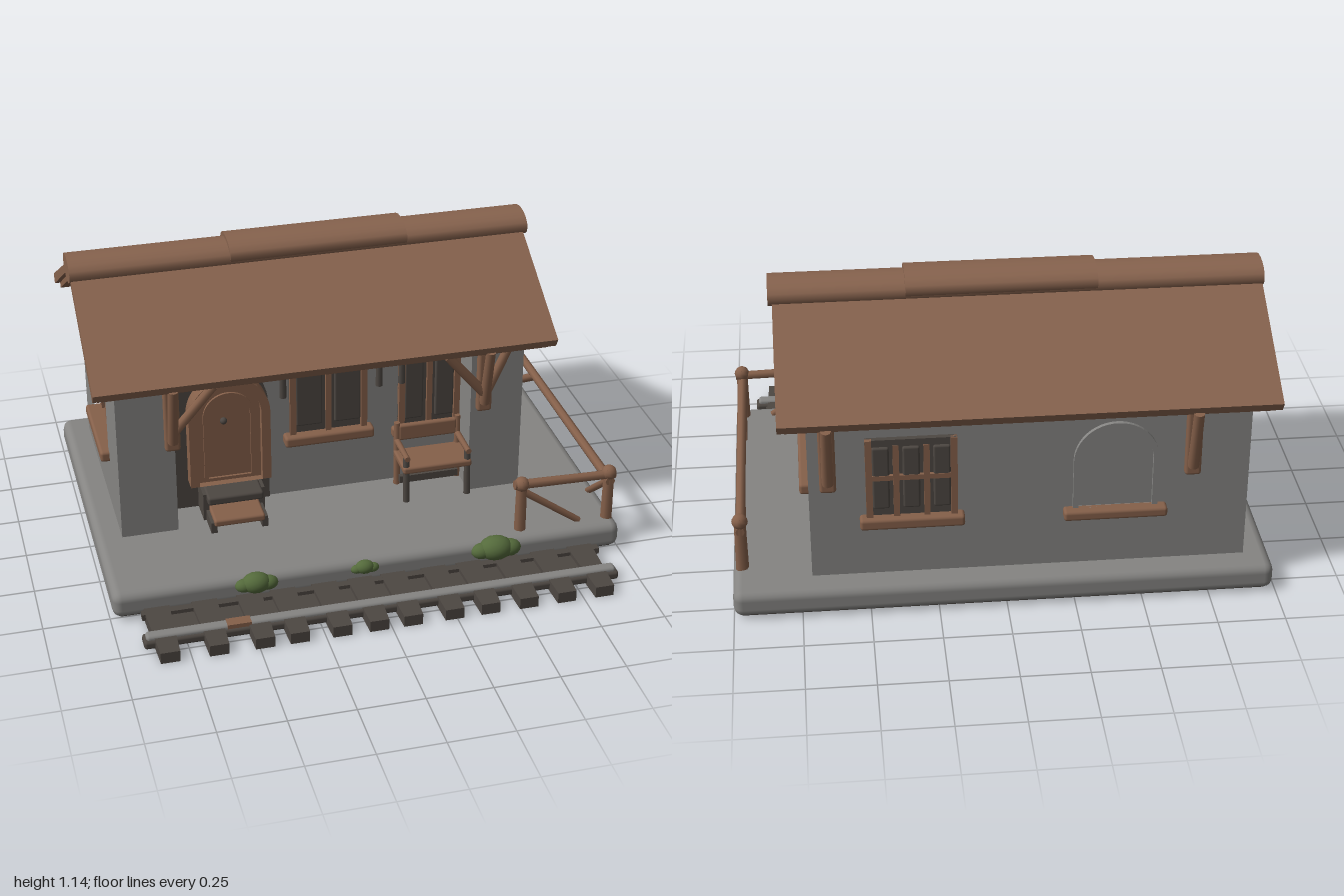
import * as THREE from 'three';
import { RoundedBoxGeometry } from 'three/addons/geometries/RoundedBoxGeometry.js';

const mat = (name, color) => {
  const m = new THREE.MeshStandardMaterial({ color });
  m.name = name;
  return m;
};

export function createModel() {
  const stone = mat('grey stone', 0x858482);
  const roofWood = mat('roof wood', 0x87634e);
  const wood = mat('brown wood', 0x85604a);
  const dark = mat('dark wood', 0x4d4742);
  const under = mat('underside', 0x35302b);
  const leaf = mat('leaf green', 0x556b3c);
  const root = new THREE.Group();

  const add = (name, geo, m, parent = root, pos = [0, 0, 0]) => {
    const mesh = new THREE.Mesh(geo, m);
    mesh.name = name;
    mesh.position.set(...pos);
    parent.add(mesh);
    return mesh;
  };
  const group = (name, x = 0, y = 0, z = 0, turn = 0, parent = root) => {
    const g = new THREE.Group();
    g.name = name;
    g.position.set(x, y, z);
    g.rotation.y = turn;
    parent.add(g);
    return g;
  };
  // box given by its lower and upper corners, softened when a radius is given
  const box = (name, [x0, y0, z0], [x1, y1, z1], m, parent = root, r = 0) => {
    const s = [x1 - x0, y1 - y0, z1 - z0];
    const geo = r ? new RoundedBoxGeometry(...s, 2, r) : new THREE.BoxGeometry(...s);
    return add(name, geo, m, parent, [(x0 + x1) / 2, (y0 + y1) / 2, (z0 + z1) / 2]);
  };
  // round timber between two points
  const beam = (name, a, b, r, m = wood, parent = root) => {
    const p = new THREE.Vector3(...a), q = new THREE.Vector3(...b);
    const d = q.clone().sub(p);
    const mesh = add(name, new THREE.CylinderGeometry(r * 0.9, r, d.length(), 8), m, parent);
    mesh.position.copy(p.add(q).multiplyScalar(0.5));
    mesh.quaternion.setFromUnitVectors(new THREE.Vector3(0, 1, 0), d.normalize());
    return mesh;
  };
  // [z, y] outline swept along x
  const sweep = (name, pts, x0, x1, m, hole) => {
    const v = (list) => list.map(([z, y]) => new THREE.Vector2(-z, y));
    const shape = new THREE.Shape(v(pts));
    if (hole) shape.holes.push(new THREE.Path(v(hole)));
    const geo = new THREE.ExtrudeGeometry(shape, { depth: x1 - x0, bevelEnabled: false });
    geo.rotateY(Math.PI / 2);
    return add(name, geo, m, root, [x0, 0, 0]);
  };
  const arch = (w, h, Type = THREE.Shape) => {
    const s = new Type();
    s.moveTo(-w / 2, 0);
    s.lineTo(w / 2, 0);
    s.lineTo(w / 2, h - w / 2);
    s.absarc(0, h - w / 2, w / 2, 0, Math.PI, false);
    s.lineTo(-w / 2, 0);
    return s;
  };
  const slab = (shape, depth) => new THREE.ExtrudeGeometry(shape, { depth, bevelEnabled: false, curveSegments: 12 });
  const archRing = (w, h, t, depth) => {
    const s = arch(w, h);
    s.holes.push(arch(w - 2 * t, h - t, THREE.Path));
    return slab(s, depth);
  };

  // platform
  box('platform', [-0.99, 0.02, -0.83], [1, 0.125, 0.53], stone, root, 0.035);
  box('platformUnderside', [-0.96, 0.014, -0.8], [0.97, 0.021, 0.5], under);

  // house: two gable ends with window openings, and a set-back middle
  const gable = [[0.14, 0.1], [0.14, 0.81], [-0.29, 1.06], [-0.73, 0.81], [-0.73, 0.1]];
  const opening = [[-0.12, 0.37], [-0.12, 0.7], [-0.47, 0.7], [-0.47, 0.37]];
  sweep('leftGableEnd', gable, 0.5, 0.71, stone, opening);
  sweep('rightGableEnd', gable, -0.89, -0.67, stone, opening);
  const middle = [[-0.02, 0.1], [-0.02, 0.7], [0.02, 0.76], [0.12, 0.78], [0.12, 0.82], [-0.29, 1.06], [-0.73, 0.81], [-0.73, 0.1]];
  sweep('middleWalls', middle, -0.67, 0.5, stone);

  // roof: thick covering with a thinner layer beneath, and a round ridge
  const chevron = (zf, zb, yf, apex, t) => [[zf, yf], [zf - 0.02, yf - t], [-0.29, apex - t], [zb + 0.02, yf - t], [zb, yf], [-0.29, apex]];
  sweep('roofCovering', chevron(0.24, -0.82, 0.81, 1.11, 0.035), -0.98, 0.81, roofWood);
  sweep('roofBoards', chevron(0.22, -0.8, 0.79, 1.08, 0.028), -0.96, 0.785, wood);
  const ridge = (name, x0, x1, rz, ry, y) => {
    const geo = new THREE.CylinderGeometry(1, 1, x1 - x0, 16);
    geo.rotateZ(Math.PI / 2);
    geo.scale(1, ry, rz);
    return add(name, geo, roofWood, root, [(x0 + x1) / 2, y, -0.29]);
  };
  ridge('ridgeCap', -0.985, 0.825, 0.09, 0.05, 1.083);
  ridge('ridgeCapCentre', -0.37, 0.33, 0.1, 0.05, 1.098);

  // windows: dark panes, frame, glazing bars and a sill, facing local +z
  const windowUnit = (name, x, y, z, turn, w, h, bars, sillOut) => {
    const g = group(name, x, y, z, turn);
    const a = w / 2, t = 0.024;
    box('panes', [-a, 0, 0], [a, h, 0.008], dark, g);
    for (const s of [-1, 1]) {
      box('jamb', [s * (a - t / 2) - t / 2, 0, 0], [s * (a - t / 2) + t / 2, h, 0.025], wood, g);
    }
    box('head', [-a, h - t, 0], [a, h, 0.02], dark, g);
    for (let i = 1; i < bars; i++) {
      const bx = -a + (w * i) / bars;
      box('bar', [bx - 0.011, 0, 0], [bx + 0.011, h - t, 0.022], wood, g);
    }
    if (bars > 2) box('crossBar', [-a, h * 0.47, 0], [a, h * 0.47 + 0.02, 0.02], wood, g);
    // shutters-like dark panels between the bars
    for (let i = 0; i < bars; i++) {
      const c = -a + (w * (i + 0.5)) / bars, pw = w / bars / 2 - 0.024;
      box('panel', [c - pw, 0.03, 0], [c + pw, h - 0.035, 0.018], dark, g, 0.008);
    }
    box('sill', [-a - 0.025, -0.045, -0.01], [a + 0.025, 0.0, sillOut], wood, g, 0.012);
    return g;
  };
  windowUnit('leftWindow', 0.66, 0.37, -0.295, Math.PI / 2, 0.35, 0.33, 3, 0.085);
  windowUnit('rightWindow', -0.84, 0.37, -0.295, -Math.PI / 2, 0.35, 0.33, 3, 0.085);
  windowUnit('frontWindow', -0.035, 0.4, -0.02, 0, 0.31, 0.3, 2, 0.05);
  windowUnit('benchWindow', 0.375, 0.37, -0.02, 0, 0.25, 0.35, 2, 0.03);
  windowUnit('backWindow', 0.34, 0.38, -0.73, Math.PI, 0.33, 0.32, 3, 0.045);

  // blind arched window on the back wall
  const blind = group('blindWindow', -0.4, 0.37, -0.73, Math.PI);
  add('archSurround', archRing(0.31, 0.35, 0.02, 0.015), stone, blind);
  box('sill', [-0.19, -0.04, -0.01], [0.19, 0, 0.045], wood, blind, 0.012);

  // arched door with surround, knob and steps
  const door = group('door', -0.44, 0.12, -0.02);
  add('doorRecess', slab(arch(0.39, 0.63), 0.012), dark, door, [-0.03, 0, 0]);
  add('doorFrame', archRing(0.32, 0.46, 0.035, 0.075), wood, door, [0, 0.13, 0]);
  add('doorLeaf', slab(arch(0.26, 0.43), 0.045), wood, door, [0, 0.13, 0]);
  add('doorPanel', archRing(0.2, 0.37, 0.015, 0.055), wood, door, [0, 0.15, 0]);
  add('doorKnob', new THREE.SphereGeometry(0.014, 10, 8), dark, door, [-0.02, 0.4, 0.052]);
  box('upperStep', [-0.11, 0.09, 0.01], [0.11, 0.125, 0.16], dark, door, 0.01);
  box('lowerStep', [-0.1, 0.035, 0.09], [0.1, 0.065, 0.23], wood, door, 0.01);
  for (const s of [-1, 1]) {
    box('stepCheek', [s * 0.11 - 0.012, 0, 0.01], [s * 0.11 + 0.012, 0.12, 0.12], dark, door);
    box('stepFoot', [s * 0.1 - 0.012, 0, 0.1], [s * 0.1 + 0.012, 0.05, 0.22], dark, door);
  }

  // bench
  const bench = group('bench', 0.365, 0.12, 0);
  box('seat', [-0.14, 0.13, 0.01], [0.14, 0.16, 0.17], wood, bench, 0.01);
  box('backRest', [-0.12, 0.2, 0.0], [0.12, 0.27, 0.025], wood, bench, 0.01);
  for (const s of [-1, 1]) {
    beam('backLeg', [s * 0.125, 0, 0.02], [s * 0.125, 0.28, 0.012], 0.014, wood, bench);
    beam('frontLeg', [s * 0.125, 0, 0.16], [s * 0.125, 0.2, 0.15], 0.014, dark, bench);
    beam('armRest', [s * 0.125, 0.2, 0.01], [s * 0.125, 0.2, 0.17], 0.013, wood, bench);
  }
  box('footBoard', [-0.12, 0.02, 0.03], [0.12, 0.05, 0.05], dark, bench);

  // eaves brackets, facing local +z
  const bracket = (name, x, z, turn, sides) => {
    const g = group(name, x, 0, z, turn);
    box('post', [-0.03, 0.49, -0.01], [0.03, 0.78, 0.025], wood, g, 0.012);
    beam('strut', [0, 0.53, 0.02], [0, 0.78, 0.075], 0.022, wood, g);
    for (const s of sides) beam('sideBrace', [0, 0.57, 0.025], [s * 0.16, 0.76, 0.035], 0.02, wood, g);
  };
  bracket('frontRightBracket', -0.68, 0.14, 0, [1]);
  bracket('frontLeftBracket', 0.55, 0.14, 0, [-1, 0.5]);
  bracket('backLeftBracket', 0.64, -0.73, Math.PI, []);
  bracket('backRightBracket', -0.68, -0.73, Math.PI, []);

  // hanging hooks beneath the porch eaves
  for (const x of [-0.24, 0.14, 0.23]) beam('porchHook', [x, 0.63, 0.1], [x, 0.78, 0.1], 0.014, dark);

  // corner fence
  const fence = group('fence');
  for (const [x, z] of [[0.61, 0.46], [0.965, 0.46], [0.965, -0.65]]) {
    beam('post', [x, 0.11, z], [x, 0.345, z], 0.024, wood, fence);
    add('postTop', new THREE.SphereGeometry(0.03, 10, 8), wood, fence, [x, 0.325, z]);
  }
  beam('frontRail', [0.58, 0.325, 0.46], [0.99, 0.315, 0.46], 0.019, wood, fence);
  beam('sideRail', [0.965, 0.295, 0.48], [0.965, 0.29, -0.67], 0.019, wood, fence);
  beam('frontBrace', [0.62, 0.29, 0.46], [0.85, 0.125, 0.46], 0.015, wood, fence);
  beam('sideBrace', [0.965, 0.28, 0.45], [0.965, 0.12, 0.26], 0.015, wood, fence);
  beam('sideBrace', [0.965, 0.29, -0.4], [0.965, 0.14, -0.64], 0.018, wood, fence);

  // railway track: bed, two rails and tapered sleepers
  const track = group('track');
  box('trackBed', [-0.87, 0.015, 0.5], [0.88, 0.04, 0.7], dark, track);
  const sleeperEnds = [-0.83, -0.65, -0.48, -0.35, -0.19, -0.05, 0.08, 0.24, 0.38, 0.53, 0.68, 0.83];
  for (const x of sleeperEnds) {
    const geo = new THREE.BoxGeometry(0.1, 0.045, 0.32);
    const p = geo.attributes.position;
    for (let i = 0; i < p.count; i++) if (p.getZ(i) > 0) p.setX(i, p.getX(i) * 0.72);
    geo.computeVertexNormals();
    add('sleeper', geo, dark, track, [x, 0.033, 0.66]);
  }
  box('outerRail', [-0.9, 0.03, 0.68], [0.91, 0.065, 0.725], stone, track, 0.012);
  box('railSide', [-0.91, 0.015, 0.67], [0.92, 0.05, 0.735], dark, track, 0.012);
  box('innerRail', [-0.89, 0.03, 0.54], [0.9, 0.055, 0.57], dark, track);
  box('rustPatch', [-0.6, 0.05, 0.683], [-0.51, 0.067, 0.727], wood, track);

  // bushes along the platform edge
  for (const [x, r] of [[-0.45, 0.075], [-0.03, 0.05], [0.49, 0.09]]) {
    const g = group('bush', x, 0.1, 0.53);
    for (const [dx, s] of [[0, 1], [-0.6, 0.65], [0.6, 0.7]]) {
      const geo = new THREE.IcosahedronGeometry(r * s * 0.75, 2);
      geo.scale(1, 0.72, 0.75);
      add('leafClump', geo, leaf, g, [dx * r, -0.01 * Math.abs(dx), 0]);
    }
  }
  return root;
}
